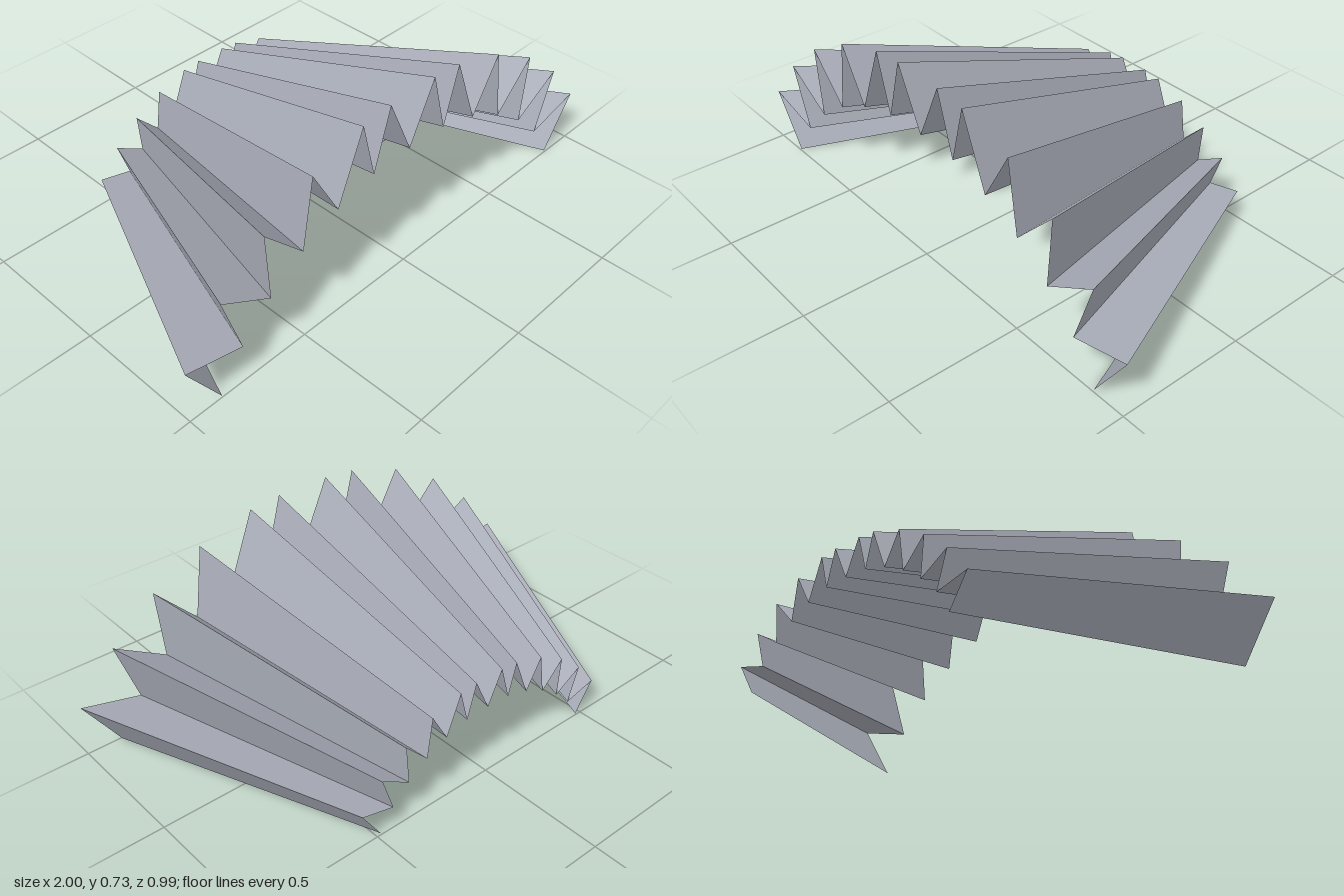
import * as THREE from 'three';

// Half of the front zigzag, from the crown valley down to the foot: valley, peak, valley ...
const HALF_PROFILE = [
  [0, 0.5], [0.108, 0.73], [0.176, 0.492], [0.236, 0.717], [0.343, 0.446],
  [0.46, 0.65], [0.5, 0.37], [0.665, 0.54], [0.643, 0.269], [0.847, 0.39],
  [0.767, 0.148], [1, 0.207], [0.864, 0],
];
const BACK_SCALE = 0.556;
const HALF_DEPTH = 0.495;

export function createModel() {
  const model = new THREE.Group();
  model.name = 'foldedArch';
  const sheetGrey = new THREE.MeshStandardMaterial({ color: 0xaaaeb9, side: THREE.DoubleSide, flatShading: true });
  sheetGrey.name = 'sheetGrey';

  // Full zigzag from the right foot over the crown to the left foot
  const mirrored = HALF_PROFILE.slice(1).reverse().map(([x, y]) => [-x, y]);
  const profile = [...mirrored, ...HALF_PROFILE];
  const front = profile.map(([x, y]) => [x, y, HALF_DEPTH]);
  const back = profile.map(([x, y]) => [x * BACK_SCALE, y * BACK_SCALE, -HALF_DEPTH]);

  // One flat panel between each pair of folds, tapering to the back
  const corners = [];
  for (let i = 0; i < profile.length - 1; i++) {
    corners.push(front[i], front[i + 1], back[i + 1], front[i], back[i + 1], back[i]);
  }
  const geometry = new THREE.BufferGeometry();
  geometry.setAttribute('position', new THREE.Float32BufferAttribute(corners.flat(), 3));
  geometry.computeVertexNormals();

  const sheet = new THREE.Mesh(geometry, sheetGrey);
  sheet.name = 'pleatedCanopy';
  model.add(sheet);
  return model;
}
